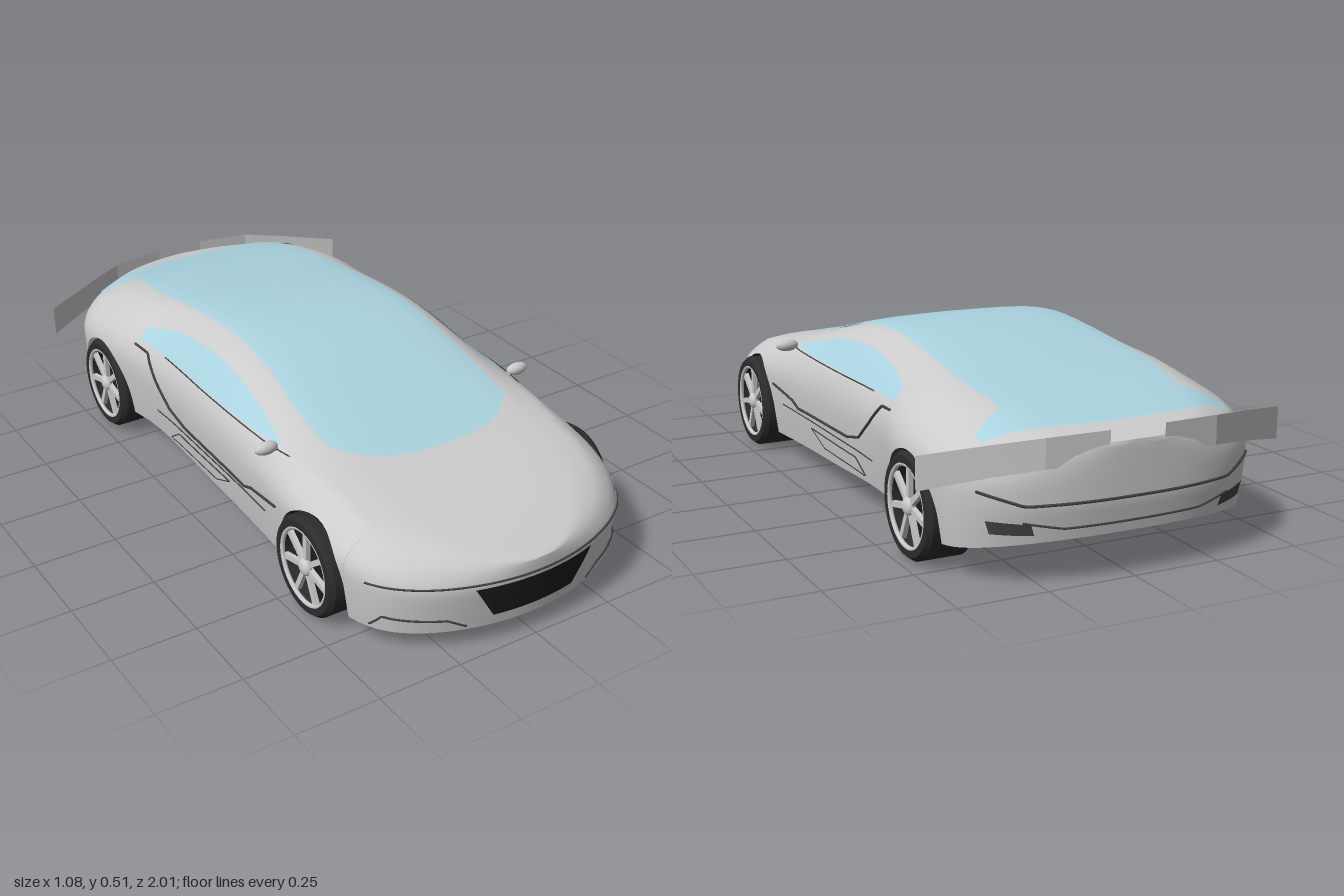
import * as THREE from 'three';
import { toCreasedNormals } from 'three/addons/utils/BufferGeometryUtils.js';

const mat = (color) => new THREE.MeshStandardMaterial({ color, side: THREE.DoubleSide });
const GREY = mat(0xcccccc), GLASS = mat(0xaad3df), BLACK = mat(0x1c1c1c), TYRE = mat(0x2c2c2c), DARK = mat(0x444444);

// Smooth curve through [position, value] pairs with ascending positions
function curve(...pairs) {
  const c = new THREE.CubicInterpolant(pairs.map((p) => p[0]), pairs.map((p) => p[1]), 1, [0]);
  return (t) => c.evaluate(t)[0];
}
function linear(pairs, t) {
  const i = Math.max(1, pairs.findIndex((p) => p[0] >= t));
  const [a, b] = [pairs[i - 1], pairs[i]];
  return THREE.MathUtils.lerp(a[1], b[1], THREE.MathUtils.clamp((t - a[0]) / (b[0] - a[0]), 0, 1));
}

// Body rules along z: centre line, shoulder, lower edge, width, roundness of shoulder
const topLine = curve([-1, .36], [-.9, .385], [-.7, .435], [-.5, .468], [-.3, .498], [-.1, .51], [.05, .495],
  [.2, .457], [.4, .4], [.57, .365], [.75, .325], [.9, .283], [1, .245]);
const shoulder = curve([-1, .33], [-.8, .365], [-.6, .382], [-.3, .374], [.2, .37], [.45, .362], [.6, .345],
  [.75, .31], [.9, .262], [1, .225]);
const sill = curve([-1, .12], [-.9, .1], [-.8, .088], [-.5, .1], [0, .085], [.4, .073], [.8, .06], [1, .06]);
const flank = curve([-1, .47], [-.7, .47], [-.55, .467], [-.38, .44], [0, .438], [.3, .445], [.5, .455], [1, .455]);
const inset = curve([-1, .82], [-.75, .86], [-.45, .92], [.25, .92], [.6, .82], [1, .8]);
const roof = curve([0, 1], [.25, .99], [.5, .96], [.69, .88], [.81, .69], [.9, .39], [1, 0]);

function width(z) {
  const f = Math.min(1, Math.max(0, (z - .6) / .4)), r = Math.min(1, Math.max(0, (-z - .7) / .3));
  return flank(z) * Math.pow(1 - Math.pow(f, 2.8), .5) * Math.pow(1 - Math.pow(r, 2.5), .385);
}
const ARCH = .152, AXLE = .145, AXLES = [.59, -.64];
function lowerEdge(z) {
  const d = Math.min(...AXLES.map((a) => Math.abs(z - a)));
  return d <= ARCH + 1e-6 ? AXLE + Math.sqrt(Math.max(0, ARCH * ARCH - d * d)) : sill(z);
}
function topY(z, x) {
  const u = Math.min(1, Math.abs(x) / (inset(z) * width(z) + 1e-6));
  return shoulder(z) + (topLine(z) - shoulder(z)) * roof(u);
}
function sideX(z, y) {
  const w = width(z), e = inset(z), t = (y - sill(z)) / (shoulder(z) - sill(z));
  if (t <= 1) {
    const tuck = .04 * Math.pow(Math.max(0, 1 - t / .6), 1.5);
    return w * (1 - tuck - (1 - e) * Math.pow(Math.max(0, (t - .6) / .4), 2.4));
  }
  let lo = 0, hi = e * w;
  for (let i = 0; i < 24; i++) { const m = (lo + hi) / 2; if (topY(z, m) > y) lo = m; else hi = m; }
  return lo;
}
// Bumpers lean in towards the ground
const lean = (y, z) => z - Math.sign(z) * .02 * Math.max(0, (.2 - y) / .14) * THREE.MathUtils.smoothstep(Math.abs(z), .8, 1);

// Points lying just proud of the nose or tail (x, y) and of the flanks (z, y)
const onEnd = (end) => (x, y) => {
  let lo = .78, hi = 1;
  for (let i = 0; i < 24; i++) { const m = (lo + hi) / 2; if (sideX(end * m, y) > Math.abs(x)) lo = m; else hi = m; }
  return [x * 1.005, y, lean(y, end * lo) + end * .004];
};
const onSide = (s) => (z, y) => [s * (sideX(z, y) + .004), y, lean(y, z)];

function grid(name, nu, nv, f, material, crease) {
  const pos = [], idx = [];
  for (let i = 0; i <= nu; i++) for (let j = 0; j <= nv; j++) {
    pos.push(...f(i, j));
    if (i < nu && j < nv) {
      const a = i * (nv + 1) + j, b = a + nv + 1;
      idx.push(a, b, a + 1, b, b + 1, a + 1);
    }
  }
  let g = new THREE.BufferGeometry();
  g.setAttribute('position', new THREE.Float32BufferAttribute(pos, 3));
  g.setIndex(idx);
  g.computeVertexNormals();
  if (crease) g = toCreasedNormals(g, crease);
  return part(name, g, material);
}
function part(name, geometry, material, x = 0, y = 0, z = 0) {
  const m = new THREE.Mesh(geometry, material);
  m.name = name;
  m.position.set(x, y, z);
  return m;
}
// Four-cornered panel wrapped on the body
function panel(name, [a, b, c, d], map, material) {
  const N = 12, mix = THREE.MathUtils.lerp;
  return grid(name, N, N, (i, j) => {
    const u = i / N, v = j / N;
    return map(...[0, 1].map((k) => mix(mix(a[k], b[k], u), mix(d[k], c[k], u), v)));
  }, material);
}
// Thin seam following straight runs over the body
function seam(name, pts, map, r = .003) {
  const path = new THREE.CurvePath();
  const fine = [];
  pts.forEach((p, i) => {
    if (i) for (let k = 1; k <= 8; k++) fine.push([0, 1].map((n) => THREE.MathUtils.lerp(pts[i - 1][n], p[n], k / 8)));
    else fine.push(p);
  });
  const c = new THREE.CatmullRomCurve3(fine.map((p) => new THREE.Vector3(...map(...p))));
  return part(name, new THREE.TubeGeometry(c, fine.length * 2, r, 5), DARK);
}

function makeWheel() {
  const wheel = new THREE.Group();
  const profile = [[.108, -.07], [.134, -.072], [.145, -.058], [.145, .058], [.134, .072], [.114, .072], [.11, .03]];
  const tyre = new THREE.LatheGeometry(profile.map((p) => new THREE.Vector2(...p)), 40).rotateZ(-Math.PI / 2);
  wheel.add(part('tyre', toCreasedNormals(tyre, .6), TYRE));
  wheel.add(part('wheelBack', new THREE.CylinderGeometry(.112, .112, .01, 32).rotateZ(Math.PI / 2), BLACK, .025));
  wheel.add(part('rim', new THREE.TorusGeometry(.112, .007, 8, 40).rotateY(Math.PI / 2), GREY, .066));
  for (let i = 0; i < 7; i++) {
    const spoke = new THREE.BoxGeometry(.014, .1, .016).translate(.058, .058, 0).rotateX(i * Math.PI * 2 / 7);
    wheel.add(part('spoke', spoke, GREY));
  }
  wheel.add(part('hub', new THREE.SphereGeometry(.026, 16, 10).scale(.6, 1, 1), GREY, .062));
  return wheel;
}

export function createModel() {
  const car = new THREE.Group();
  car.name = 'sportsCar';

  // Stations along the body, close together at the ends and round the arches
  let zs = [];
  for (let i = 0; i <= 24; i++) {
    const s = Math.sin(i / 24 * Math.PI / 2);
    zs.push(.6 + .4 * s, -.7 - .3 * s, -.48 + .92 * i / 24);
  }
  for (const a of AXLES) {
    for (let i = 0; i <= 24; i++) zs.push(a + ARCH * Math.cos(i / 24 * Math.PI));
    zs.push(a + ARCH + .0006, a - ARCH - .0006);
  }
  zs = zs.sort((a, b) => a - b).filter((z, i, all) => !i || z - all[i - 1] > .0003);

  // Body shell: flank, shoulder and roof in one skin
  const L = 16, U = 16, H = L + U;
  car.add(grid('body', zs.length - 1, H * 2, (i, j) => {
    const z = zs[i], s = j < H ? -1 : 1, k = j < H ? j : H * 2 - j;
    if (k <= L) {
      const y = THREE.MathUtils.lerp(lowerEdge(z), shoulder(z), k / L);
      return [s * sideX(z, y), y, lean(y, z)];
    }
    const x = inset(z) * width(z) * (1 - (k - L) / U);
    return [s * x, topY(z, x), lean(topY(z, x), z)];
  }, GREY, .7));

  // Floor, narrowed between the wheels
  car.add(grid('floor', zs.length - 1, 2, (i, j) => {
    const z = zs[i], y = sill(z) + .002;
    const hw = AXLES.some((a) => Math.abs(z - a) <= ARCH + 1e-6) ? .3 : width(z) * .96;
    return [(j - 1) * hw, y, lean(y, z)];
  }, BLACK));

  // Canopy glass from windscreen to tail
  const canopy = [[-.91, 0], [-.905, .12], [-.89, .24], [-.86, .365], [-.83, .37], [-.77, .265], [-.6, .29], [-.2, .278],
    [.1, .283], [.3, .3], [.45, .298], [.52, .23], [.55, .17], [.565, .1], [.572, 0]];
  const rows = (canopy.length - 1) * 5;
  car.add(grid('canopyGlass', rows, 24, (i, j) => {
    const n = Math.min(canopy.length - 2, Math.floor(i / 5));
    const z = THREE.MathUtils.lerp(canopy[n][0], canopy[n + 1][0], i / 5 - n);
    const x = linear(canopy, z) * (j / 12 - 1);
    return [x, topY(z, x) + .004, z];
  }, GLASS));

  // Nose
  const nose = onEnd(1), tail = onEnd(-1);
  car.add(panel('grille', [[-.19, .195], [.19, .195], [.13, .096], [-.13, .096]], nose, BLACK));
  car.add(seam('noseSeam', [[-.42, .208], [-.2, .208], [.2, .208], [.42, .208]], nose));
  car.add(seam('tailSeam', [[-.4, .25], [-.3, .215], [.3, .215], [.4, .25]], tail, .004));
  car.add(seam('tailLowerSeam', [[-.3, .17], [-.2, .15], [.2, .15], [.3, .17]], tail));

  const windowTop = curve([-.45, .405], [-.3, .437], [-.12, .455], [.05, .443], [.2, .412], [.34, .376]);
  for (const s of [1, -1]) {
    const side = onSide(s), flip = (pts) => pts.map(([x, y]) => [s * x, y]);
    car.add(grid('sideWindow', 24, 8, (i, j) => {
      const z = -.45 + .79 * i / 24;
      return side(z, THREE.MathUtils.lerp(.373, windowTop(z), j / 8));
    }, GLASS));
    car.add(seam('beltSeam', [[.4, .367], [-.3, .37]], side, .002));

    // Door scoop and sill inlay
    car.add(seam('scoopLine', [[.42, .238], [.27, .216], [.23, .2], [-.15, .205], [-.24, .225], [-.32, .285], [-.39, .35], [-.46, .356]], side, .004));
    const inlay = [[.13, .16], [-.2, .155], [-.26, .115], [.04, .12]];
    car.add(panel('sillInlay', inlay, side, GREY));
    car.add(seam('sillInlayEdge', [...inlay, inlay[0]], side, .002));
    car.add(seam('sillLine', [[.35, .185], [-.33, .18]], side, .002));

    // Lamps, bumper vents and exhausts
    car.add(panel('headlight', flip([[.17, .218], [.2, .232], [.43, .23], [.41, .21]]), nose, GREY));
    const vent = flip([[.2, .075], [.25, .102], [.39, .11], [.405, .075]]);
    car.add(panel('bumperVent', vent, nose, GREY));
    car.add(seam('bumperVentEdge', vent, nose));
    car.add(panel('exhaust', flip([[.27, .135], [.28, .165], [.38, .175], [.37, .14]]), tail, DARK));

    // Tail blade
    const blade = [[.08, -.996, .39, .31], [.25, -.975, .385, .305], [.37, -.925, .37, .288], [.54, -.85, .345, .255]];
    car.add(grid('tailBlade', 3, 1, (i, j) => [s * blade[i][0], blade[i][2 + j], blade[i][1]], GREY, .1));

    // Door mirror
    car.add(part('mirror', new THREE.SphereGeometry(1, 16, 10).scale(.036, .019, .018), GREY, s * .433, .376, .34));
    car.add(part('mirrorArm', new THREE.BoxGeometry(.05, .008, .016).rotateZ(s * .3), GREY, s * .402, .366, .34));

    // Wheels with their housings
    for (const a of AXLES) {
      const wheel = makeWheel();
      wheel.name = a > 0 ? 'frontWheel' : 'rearWheel';
      wheel.position.set(s * .402, AXLE, a);
      wheel.rotation.y = s > 0 ? 0 : Math.PI;
      car.add(wheel);
      car.add(part('wheelHousing', new THREE.CylinderGeometry(ARCH, ARCH, .14, 24, 1, true, 0, Math.PI).rotateZ(Math.PI / 2), BLACK, s * .37, AXLE, a));
      car.add(part('housingWall', new THREE.CircleGeometry(ARCH, 24, 0, Math.PI).rotateY(Math.PI / 2), BLACK, s * .3, AXLE, a));
      car.add(part('housingSkirt', new THREE.BoxGeometry(.002, .06, ARCH * 2), BLACK, s * .3, .116, a));
    }
  }
  return car;
}
